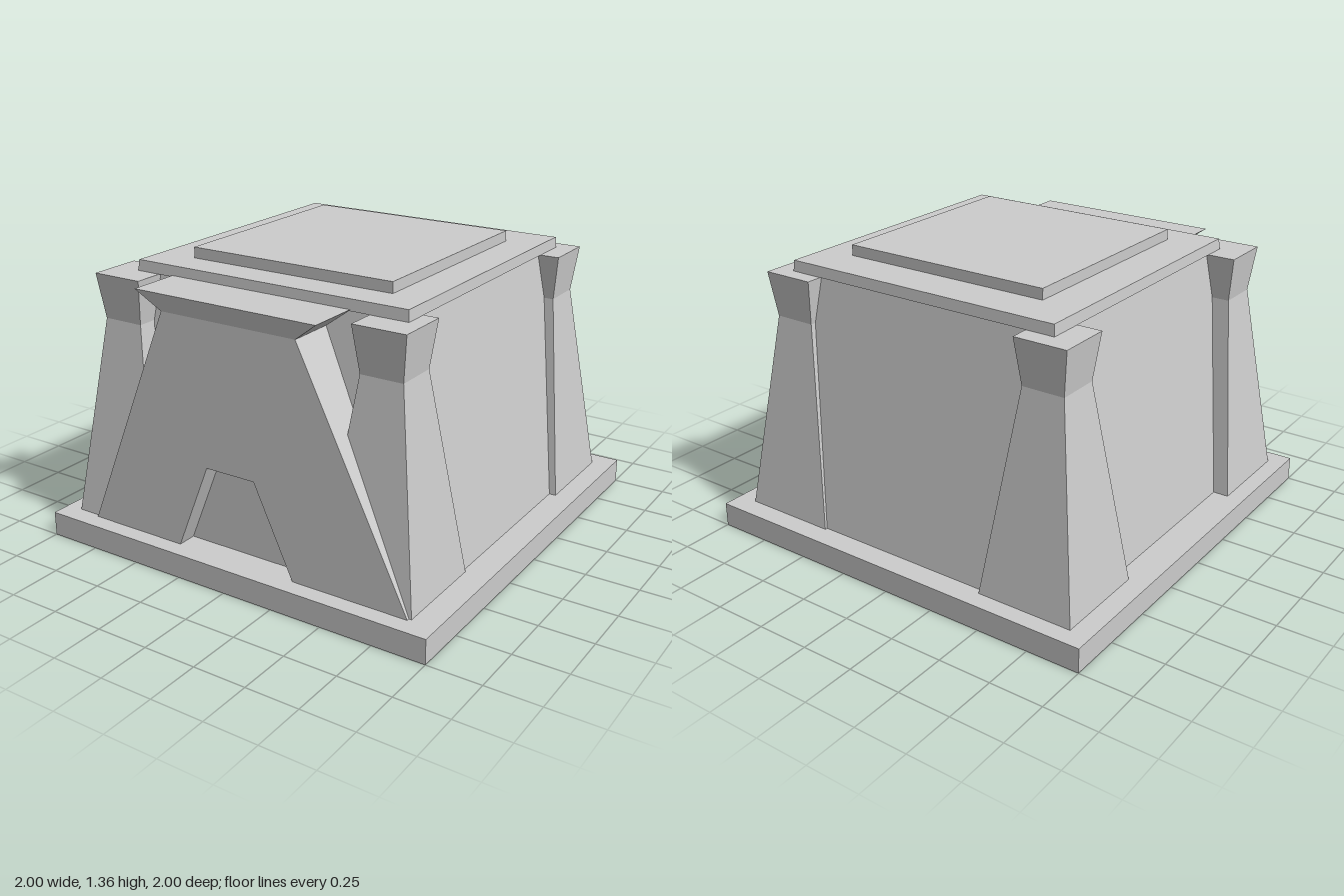
import * as THREE from 'three';

const material = new THREE.MeshStandardMaterial({ color: 0xcccccc, flatShading: true });

function addMesh(group, name, geometry) {
  const mesh = new THREE.Mesh(geometry, material);
  mesh.name = name;
  group.add(mesh);
  return mesh;
}

// Solid through stacked rectangles, each given as [y, x0, x1, z0, z1]
function loft(rings) {
  const pos = [];
  const corners = rings.map(([y, x0, x1, z0, z1]) => [[x0, y, z1], [x1, y, z1], [x1, y, z0], [x0, y, z0]]);
  const quad = (a, b, c, d) => pos.push(...a, ...b, ...c, ...a, ...c, ...d);
  for (let i = 0; i < corners.length - 1; i++) {
    const lo = corners[i], hi = corners[i + 1];
    for (let k = 0; k < 4; k++) {
      const n = (k + 1) % 4;
      quad(lo[k], lo[n], hi[n], hi[k]);
    }
  }
  const bottom = corners[0], top = corners[corners.length - 1];
  quad(top[0], top[1], top[2], top[3]);
  quad(bottom[3], bottom[2], bottom[1], bottom[0]);
  const geometry = new THREE.BufferGeometry();
  geometry.setAttribute('position', new THREE.Float32BufferAttribute(pos, 3));
  geometry.computeVertexNormals();
  return geometry;
}

export function createModel() {
  const model = new THREE.Group();
  const floor = 0.115;

  // Base plinth, sloping walls and stepped roof
  addMesh(model, 'base', loft([[0, -1, 1, -1, 1], [floor, -1, 1, -1, 1]]));
  addMesh(model, 'walls', loft([[floor, -0.845, 0.87, -0.89, 0.83], [1.26, -0.675, 0.695, -0.715, 0.655]]));
  addMesh(model, 'roofSlab', loft([[1.26, -0.685, 0.708, -0.725, 0.668], [1.31, -0.68, 0.705, -0.72, 0.663]]));
  addMesh(model, 'roofStep', loft([[1.31, -0.49, 0.54, -0.52, 0.51], [1.36, -0.49, 0.54, -0.52, 0.51]]));

  // Corner pillars: taper to a neck, then flare to the cap
  const pillars = {
    pillarFrontRight: [-0.69, 0.678],
    pillarFrontLeft: [0.653, 0.678],
    pillarBackRight: [-0.675, -0.687],
    pillarBackLeft: [0.673, -0.673],
  };
  const profile = [[floor, 0.229], [1.05, 0.1], [1.26, 0.125]];
  for (const [name, [x, z]] of Object.entries(pillars)) {
    addMesh(model, name, loft(profile.map(([y, r]) => [y, x - r, x + r, z - r, z + r])));
  }

  // Porch front with a doorway notch, leaning back slightly
  const porch = new THREE.Group();
  porch.name = 'porch';
  model.add(porch);
  const depth = 0.09, lean = 0.033, porchTop = 1.18;
  const outline = [
    [-0.8, floor], [-0.3, floor], [-0.14, 0.52], [0.11, 0.52],
    [0.31, floor], [0.87, floor], [0.32, porchTop], [-0.37, porchTop],
  ].map(([x, y]) => new THREE.Vector2(x, y));
  const front = new THREE.ExtrudeGeometry(new THREE.Shape(outline), { depth, bevelEnabled: false });
  front.applyMatrix4(new THREE.Matrix4().set(
    1, 0, 0, 0,
    0, 1, 0, 0,
    0, -lean, 1, 0.92 - depth + lean * floor,
    0, 0, 0, 1,
  ));
  front.computeVertexNormals();
  addMesh(porch, 'porchFront', front);

  // Solid porch behind the doorway, which also closes the recess
  addMesh(porch, 'porchCore', loft([
    [floor, -0.8, 0.87, 0.6, 0.92 - depth],
    [porchTop, -0.37, 0.32, 0.6, 0.885 - depth],
  ]));

  // Flared canopy above the porch
  addMesh(porch, 'canopy', loft([
    [porchTop, -0.37, 0.32, 0.6, 0.885],
    [1.266, -0.488, 0.436, 0.6, 0.91],
  ]));

  return model;
}
